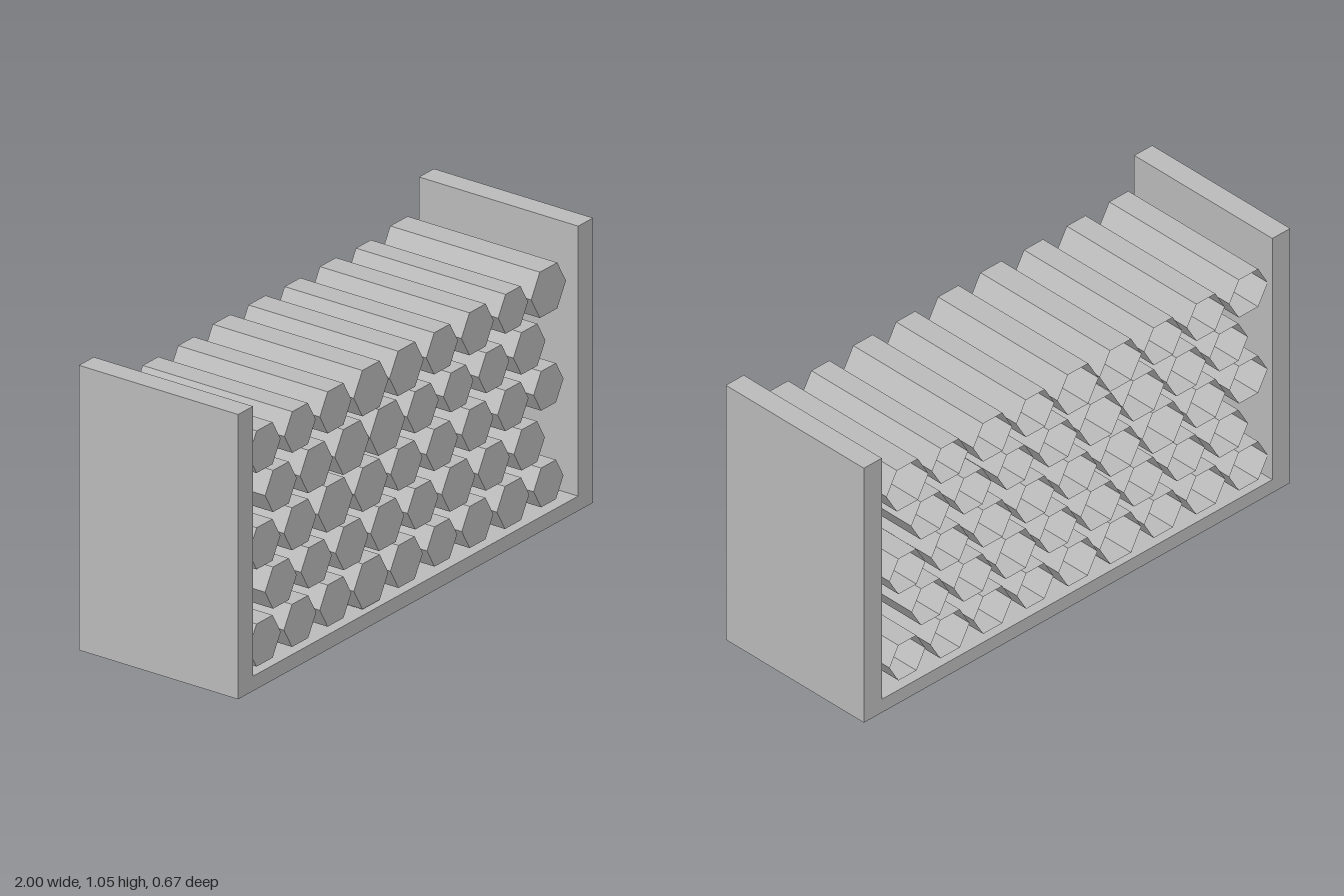
import * as THREE from 'three';

const grey = new THREE.MeshStandardMaterial({ color: 0xbcbcbc, flatShading: true, side: THREE.DoubleSide });
grey.name = 'plainGrey';

const DEPTH = 0.67;      // rack depth
const LENGTH = 0.63;     // tube length

// Rows of tube radii, bottom to top, in thousandths of a unit
const rows = [
  [91, 91, 89, 97, 91, 85, 89, 91, 84],
  [89, 87, 92, 94, 87, 94, 89, 87],
  [89, 91, 98, 94, 89, 89, 89, 87, 84],
  [89, 92, 97, 99, 89, 84, 86, 90],
  [90, 88, 89, 98, 96, 89, 91, 84, 98],
];

// Hexagonal tube, closed at the front and open at the back
function makeTube(radius) {
  const tube = new THREE.Group();
  tube.name = 'hexTube';
  const wall = new THREE.CylinderGeometry(radius, radius, LENGTH, 6, 1, true, Math.PI / 2);
  wall.rotateX(Math.PI / 2);
  const sides = new THREE.Mesh(wall, grey);
  sides.name = 'tubeSides';
  const cap = new THREE.Mesh(new THREE.CircleGeometry(radius, 6), grey);
  cap.name = 'frontCap';
  cap.position.z = LENGTH / 2;
  tube.add(sides, cap);
  return tube;
}

export function createModel() {
  const model = new THREE.Group();
  model.name = 'tubeRack';

  // U-shaped rack: floor and two end walls in one profile
  const profile = new THREE.Shape([
    [-1, 0], [1, 0], [1, 1.055], [0.916, 1.055],
    [0.916, 0.055], [-0.916, 0.055], [-0.916, 1.055], [-1, 1.055],
  ].map(([x, y]) => new THREE.Vector2(x, y)));
  const rackGeometry = new THREE.ExtrudeGeometry(profile, { depth: DEPTH, bevelEnabled: false });
  rackGeometry.translate(0, 0, -DEPTH / 2);
  const rack = new THREE.Mesh(rackGeometry, grey);
  rack.name = 'rack';
  model.add(rack);

  // Staggered stack of tubes
  rows.forEach((radii, row) => {
    const group = new THREE.Group();
    group.name = `tubeRow${row + 1}`;
    radii.forEach((r, i) => {
      const tube = makeTube(r / 1000);
      tube.position.set((row % 2 ? -0.732 : -0.824) + i * 0.2, 0.147 + row * 0.179, 0);
      group.add(tube);
    });
    model.add(group);
  });

  return model;
}
